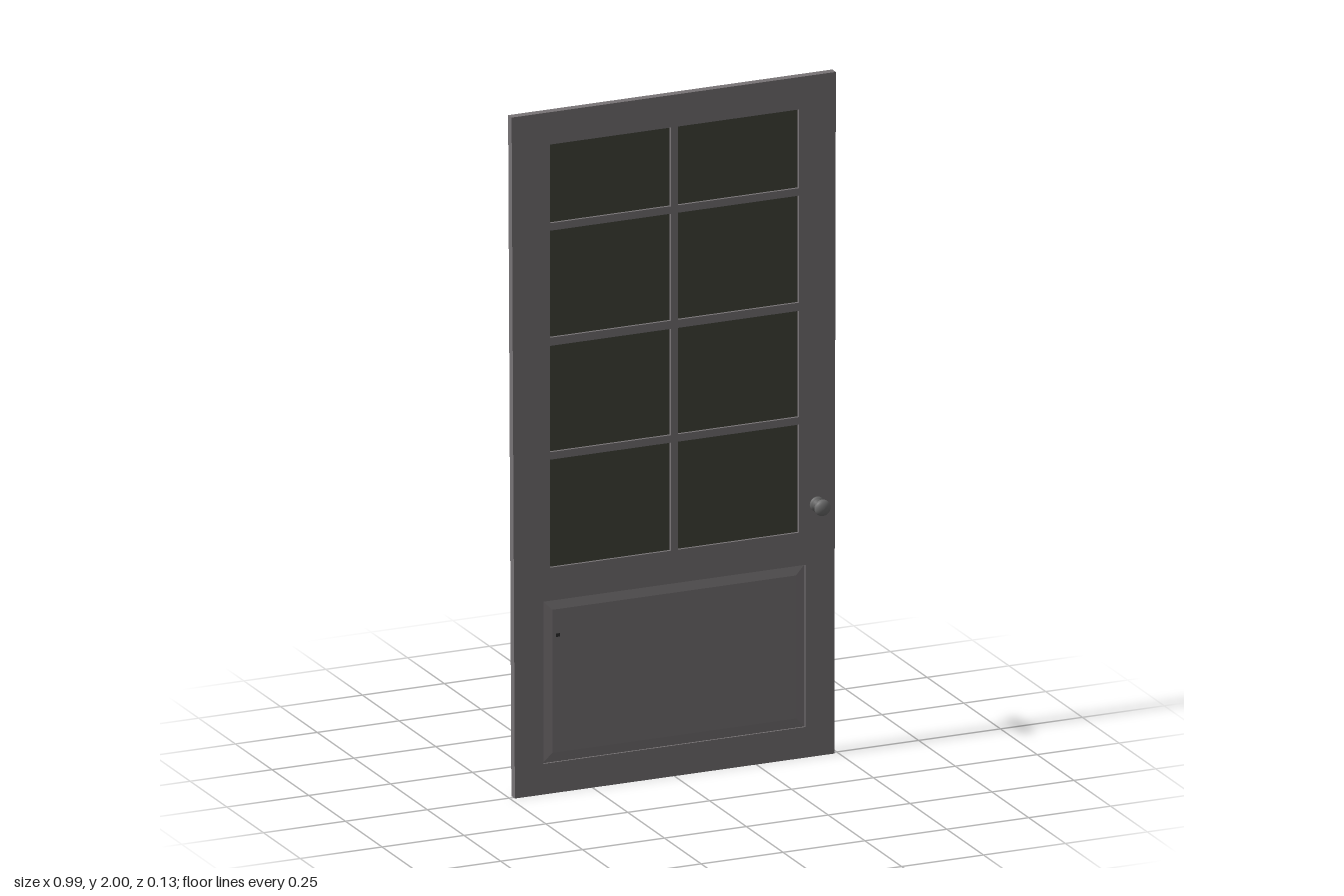
import * as THREE from 'three';

const paint = new THREE.MeshStandardMaterial({ color: 0x787476 });
paint.name = 'grey paint';
const glass = new THREE.MeshStandardMaterial({ color: 0x42443a });
glass.name = 'dark glass';
const metal = new THREE.MeshStandardMaterial({ color: 0x6c6c6c });
metal.name = 'knob metal';
const dark = new THREE.MeshStandardMaterial({ color: 0x2c2c2c });
dark.name = 'dark mark';

const MID = -0.002;   // middle of the door's thickness
const THICK = 0.024;
const COLUMNS = [[-0.38, -0.011], [0.011, 0.38]];
const ROWS = [[0.663, 0.98], [1.002, 1.314], [1.338, 1.652], [1.674, 1.905]];
const PANEL = [-0.4, 0.4, 0.09, 0.566];

function rectPoints(x0, x1, y0, y1) {
  return [[x0, y0], [x1, y0], [x1, y1], [x0, y1]].map(p => new THREE.Vector2(...p));
}

function add(group, name, geometry, material, x = 0, y = 0, z = 0) {
  const mesh = new THREE.Mesh(geometry, material);
  mesh.name = name;
  mesh.position.set(x, y, z);
  group.add(mesh);
  return mesh;
}

// Knob with stepped rose, waisted neck and rounded grip, turned around the z axis
function knobGeometry() {
  const profile = [
    [0, 0.01], [0.022, 0.01], [0.022, 0.016], [0.017, 0.017], [0.016, 0.021],
    [0.011, 0.023], [0.009, 0.028], [0.010, 0.033], [0.014, 0.036]
  ].map(p => new THREE.Vector2(...p));
  for (let i = 0; i <= 10; i++) {
    const a = -0.9 + (i / 10) * (Math.PI / 2 + 0.9);
    profile.push(new THREE.Vector2(Math.max(0, 0.024 * Math.cos(a)), 0.050 + 0.0145 * Math.sin(a)));
  }
  return new THREE.LatheGeometry(profile, 24).rotateX(Math.PI / 2);
}

export function createModel() {
  const door = new THREE.Group();
  door.name = 'door';

  // Slightly tapered slab with openings for the panes and the lower panel
  const outline = new THREE.Shape([[-0.487, 0], [0.488, 0], [0.493, 2], [-0.497, 2]]
    .map(p => new THREE.Vector2(...p)));
  for (const [x0, x1] of COLUMNS) {
    for (const [y0, y1] of ROWS) outline.holes.push(new THREE.Path(rectPoints(x0, x1, y0, y1)));
  }
  outline.holes.push(new THREE.Path(rectPoints(...PANEL)));
  const slab = new THREE.ExtrudeGeometry(outline, { depth: THICK, bevelEnabled: false });
  add(door, 'doorFrame', slab, paint, 0, 0, MID - THICK / 2);

  // Glass panes
  for (const [x0, x1] of COLUMNS) {
    for (const [y0, y1] of ROWS) {
      add(door, 'pane', new THREE.BoxGeometry(x1 - x0, y1 - y0, 0.008), glass,
        (x0 + x1) / 2, (y0 + y1) / 2, MID);
    }
  }

  // Lower panel, sloping up from its rim to a raised field on both faces
  const bevel = 0.028, rise = 0.004;
  const [px0, px1, py0, py1] = PANEL;
  const field = new THREE.Shape(rectPoints(px0 + bevel, px1 - bevel, py0 + bevel, py1 - bevel));
  const core = THICK - 2 * rise - 0.003;
  const panel = new THREE.ExtrudeGeometry(field, {
    depth: core, bevelEnabled: true, bevelSize: bevel, bevelThickness: rise, bevelSegments: 1
  });
  add(door, 'lowerPanel', panel, paint, 0, 0, MID - core / 2);

  // Small mark on the front of the panel
  add(door, 'panelMark', new THREE.BoxGeometry(0.012, 0.01, 0.002), dark, -0.355, 0.462, 0.009);

  // Knobs on both faces
  const knob = knobGeometry();
  for (const [name, turn] of [['frontKnob', 0], ['backKnob', Math.PI]]) {
    add(door, name, knob, metal, 0.435, 0.74, MID).rotation.y = turn;
  }

  return door;
}
